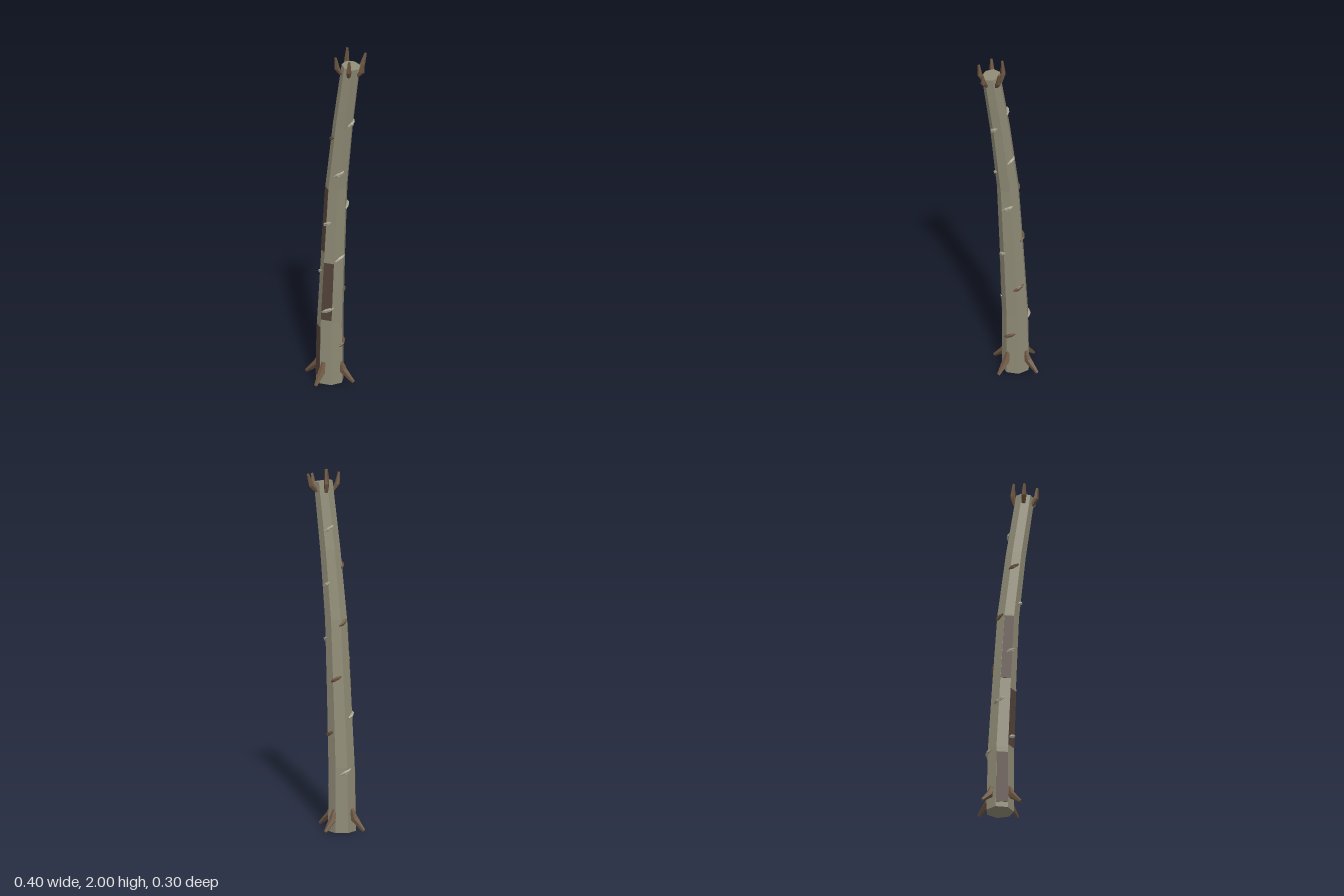
import * as THREE from 'three';

const V = (x, y, z) => new THREE.Vector3(x, y, z);
const mat = (color) => new THREE.MeshStandardMaterial({ color, flatShading: true });
const bark = mat(0x8f8b76), paleBark = mat(0xa5a28e), wood = mat(0x6b5540), darkWood = mat(0x54433a);

// trunk stations: [height, centre x, radius]
const STATIONS = [
  [0, -0.05, 0.077], [0.36, -0.046, 0.073], [0.75, -0.024, 0.067],
  [1.17, 0.003, 0.061], [1.55, 0.054, 0.056], [1.915, 0.116, 0.052],
];
const SIDES = 7;

// capped faceted tube with its own radius at every point
function taperedTube(points, radii, sides, ref) {
  const pos = [], index = [], last = points.length - 1;
  points.forEach((p, k) => {
    const t = points[Math.min(k + 1, last)].clone().sub(points[Math.max(k - 1, 0)]).normalize();
    const u = ref.clone().addScaledVector(t, -ref.dot(t)).normalize();
    const v = t.clone().cross(u);
    for (let i = 0; i < sides; i++) {
      const a = (i / sides) * Math.PI * 2;
      const q = p.clone().addScaledVector(u, radii[k] * Math.cos(a)).addScaledVector(v, radii[k] * Math.sin(a));
      pos.push(q.x, q.y, q.z);
    }
  });
  for (let k = 0; k < last; k++) {
    for (let i = 0; i < sides; i++) {
      const a = k * sides + i, b = k * sides + ((i + 1) % sides);
      index.push(a, b, b + sides, a, b + sides, a + sides);
    }
  }
  for (let i = 1; i < sides - 1; i++) {
    const e = last * sides;
    index.push(0, i + 1, i, e, e + i, e + i + 1);
  }
  const g = new THREE.BufferGeometry();
  g.setAttribute('position', new THREE.Float32BufferAttribute(pos, 3));
  g.setIndex(index);
  const flat = g.toNonIndexed();
  flat.computeVertexNormals();
  return flat;
}

// point on the faceted trunk; theta runs from +z towards +x
function onTrunk(theta, y, lift = 0) {
  let k = 0;
  while (k < STATIONS.length - 2 && y > STATIONS[k + 1][0]) k++;
  const [y0, x0, r0] = STATIONS[k], [y1, x1, r1] = STATIONS[k + 1];
  const f = (y - y0) / (y1 - y0), step = (Math.PI * 2) / SIDES;
  const local = ((theta % step) + step) % step;
  const r = (r0 + (r1 - r0) * f) * Math.cos(step / 2) / Math.cos(local - step / 2) + lift;
  return V(x0 + (x1 - x0) * f + r * Math.sin(theta), y, r * Math.cos(theta));
}

export function createModel() {
  const model = new THREE.Group();
  const add = (name, geometry, material) => {
    const m = new THREE.Mesh(geometry, material);
    m.name = name;
    model.add(m);
  };

  // bent, tapering trunk
  add('trunk', taperedTube(STATIONS.map(([y, x]) => V(x, y, 0)), STATIONS.map((s) => s[2]), SIDES, V(0, 0, 1)), bark);

  // dark panels of stripped bark, each on one front facet
  const step = (Math.PI * 2) / SIDES;
  for (const [y0, y1, side] of [[0.03, 0.33, -1], [0.38, 0.72, 1], [0.78, 1.16, -1]]) {
    const g = new THREE.BoxGeometry(1, 1, 1);
    const p = g.attributes.position;
    for (let i = 0; i < p.count; i++) {
      const q = onTrunk(step * (side * 0.5 + p.getX(i) * 0.95), y0 + (p.getY(i) + 0.5) * (y1 - y0), p.getZ(i) * 0.006);
      p.setXYZ(i, q.x, q.y, q.z);
    }
    g.computeVertexNormals();
    add('barkPanel', g, darkWood);
  }

  // slanted ridges spiralling up the trunk by the golden angle
  for (let i = 0; i < 15; i++) {
    const y = 0.235 + i * 0.1025, theta = THREE.MathUtils.degToRad(116 + i * 137.5);
    const path = [-1, -0.3, 0.4, 1].map((s) => onTrunk(theta + s * 0.46, y + s * 0.016, 0.005 - 0.003 * Math.abs(s)));
    add('barkRidge', taperedTube(path, [0.005, 0.011, 0.010, 0.004], 5, V(0, 1, 0)), i % 3 ? paleBark : wood);
  }

  // four roots flaring out at the foot
  for (let i = 0; i < 4; i++) {
    const a = THREE.MathUtils.degToRad(15 + i * 90);
    const path = [[0.066, 0.128], [0.085, 0.075], [0.15, 0.018]]
      .map(([r, y]) => V(-0.05 + r * Math.sin(a), y, r * Math.cos(a)));
    add('root', taperedTube(path, [0.011, 0.021, 0.009], 5, V(Math.cos(a), 0, -Math.sin(a))), wood);
  }

  // five broken branch stubs around the crown, listed by tip
  for (const [x, y, z] of [[0.06, 1.995, -0.025], [0.13, 1.965, -0.095], [0.19, 1.948, -0.02], [0.158, 1.965, 0.055], [0.065, 1.965, 0.068]]) {
    const theta = Math.atan2(x - 0.115, z);
    const tip = V(x, y, z), base = onTrunk(theta, 1.865, -0.002);
    const mid = base.clone().lerp(tip, 0.45).add(V(0.010 * Math.sin(theta), -0.008, 0.010 * Math.cos(theta)));
    add('branchStub', taperedTube([base, mid, tip], [0.011, 0.015, 0.007], 5, V(Math.cos(theta), 0, -Math.sin(theta))), wood);
  }
  return model;
}
